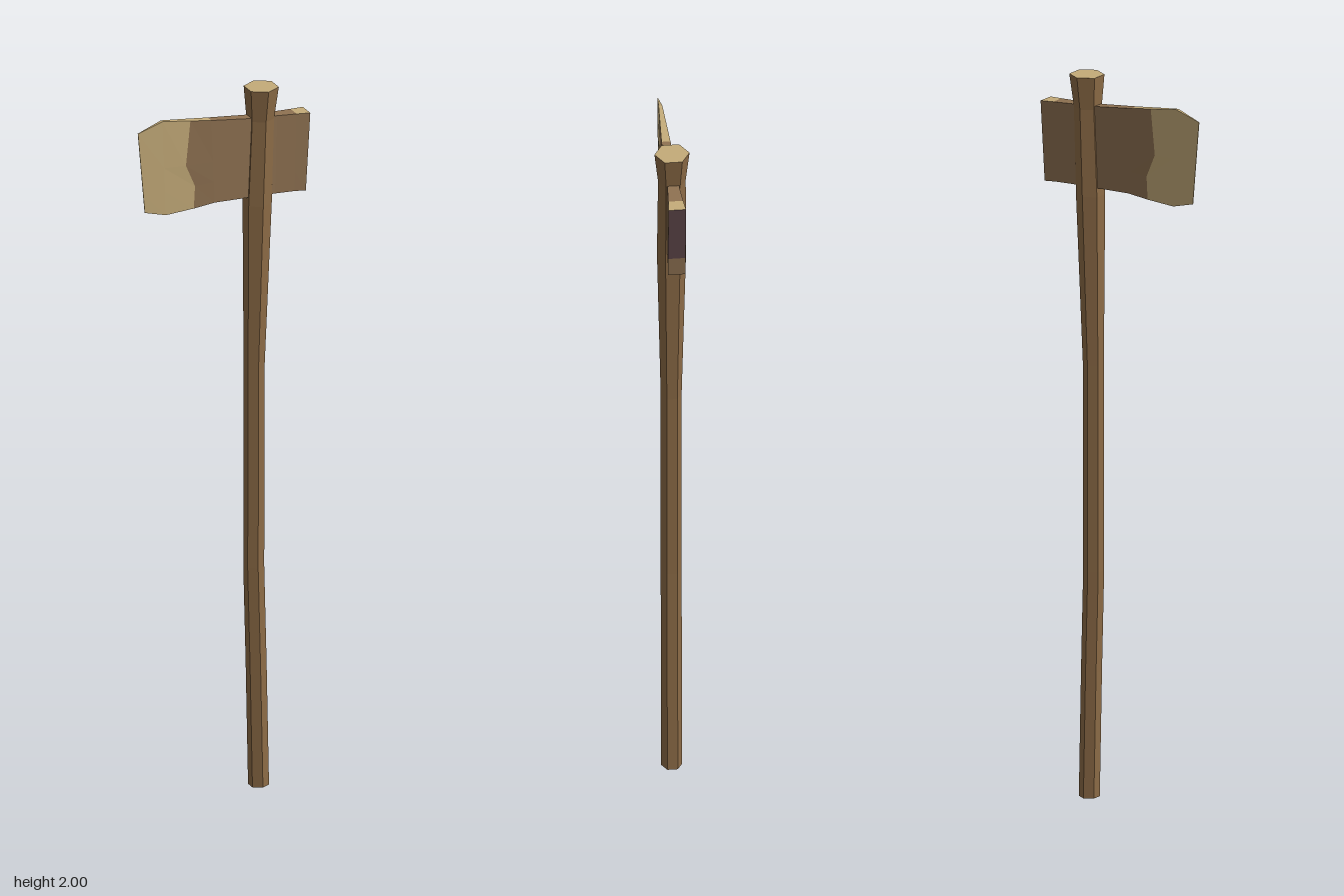
import * as THREE from 'three';

const wood = new THREE.MeshStandardMaterial({ color: 0x8c6b46 });
wood.name = 'handleWood';
const head = new THREE.MeshStandardMaterial({ color: 0x8e7151 });
head.name = 'headBrown';
const tan = new THREE.MeshStandardMaterial({ color: 0xc4ab79 });
tan.name = 'paleTan';
const dark = new THREE.MeshStandardMaterial({ color: 0x5c4548 });
dark.name = 'darkPoll';

// Six-sided shaft; each ring is [height, centre x, radius]
function makeHandle() {
  const rings = [
    [2, 0.112, 0.047], [1.91, 0.109, 0.037], [1.67, 0.1, 0.039], [1.2, 0.091, 0.028],
    [0.63, 0.09, 0.028], [0.35, 0.097, 0.028], [0, 0.104, 0.028],
  ];
  const n = rings.length - 1;
  let geo = new THREE.CylinderGeometry(1, 1, n, 6, n);
  const p = geo.attributes.position;
  for (let i = 0; i < p.count; i++) {
    const [y, cx, r] = rings[Math.round(n / 2 - p.getY(i))];
    p.setXYZ(i, cx + p.getX(i) * r, y, p.getZ(i) * r);
  }
  geo = geo.toNonIndexed();
  geo.computeVertexNormals();
  const mesh = new THREE.Mesh(geo, [wood, tan, wood]);
  mesh.name = 'handle';
  return mesh;
}

// Wedge-shaped head, lofted from upright stations running from edge to poll
function makeHead() {
  // [top x, top y, bottom x, bottom y, half thickness]
  const stations = [
    [-0.25, 1.925, -0.23, 1.695, 0.001],
    [-0.18, 1.95, -0.17, 1.68, 0.005],
    [-0.1, 1.94, -0.09, 1.687, 0.009],
    [-0.04, 1.932, -0.03, 1.695, 0.012],
    [0.07, 1.92, 0.065, 1.694, 0.015],
    [0.15, 1.915, 0.145, 1.693, 0.016],
    [0.207, 1.912, 0.2, 1.692, 0.02],
    [0.245, 1.91, 0.232, 1.69, 0.0235],
  ];
  const rows = [0, 0.5, 0.75, 1];
  const wave = [0, -0.018, 0.006, 0]; // wavy border of the honed edge
  const last = stations.length - 1;
  const point = (i, j, side) => {
    const [tx, ty, bx, by, z] = stations[i];
    const t = rows[j];
    return [tx + (bx - tx) * t + (i === 2 ? wave[j] : 0), ty + (by - ty) * t, z * side];
  };

  const parts = {
    bladeEdge: { material: tan, data: [] },
    headBody: { material: head, data: [] },
    pollFace: { material: dark, data: [] },
  };
  const quad = (part, a, b, c, d) => parts[part].data.push(...a, ...b, ...c, ...a, ...c, ...d);

  for (let i = 0; i < last; i++) {
    const cheek = i < 2 ? 'bladeEdge' : 'headBody';
    for (let j = 0; j < 3; j++) {
      quad(cheek, point(i, j, 1), point(i, j + 1, 1), point(i + 1, j + 1, 1), point(i + 1, j, 1));
      quad(cheek, point(i, j, -1), point(i + 1, j, -1), point(i + 1, j + 1, -1), point(i, j + 1, -1));
    }
    const top = i < 3 || i === last - 1 ? 'bladeEdge' : 'headBody';
    quad(top, point(i, 0, 1), point(i + 1, 0, 1), point(i + 1, 0, -1), point(i, 0, -1));
    quad(cheek, point(i, 3, 1), point(i, 3, -1), point(i + 1, 3, -1), point(i + 1, 3, 1));
  }
  // Cutting edge and poll end
  for (let j = 0; j < 3; j++) {
    quad('bladeEdge', point(0, j, -1), point(0, j + 1, -1), point(0, j + 1, 1), point(0, j, 1));
    quad(j < 2 ? 'pollFace' : 'headBody',
      point(last, j, 1), point(last, j + 1, 1), point(last, j + 1, -1), point(last, j, -1));
  }

  const group = new THREE.Group();
  group.name = 'axeHead';
  for (const [name, { material, data }] of Object.entries(parts)) {
    const geo = new THREE.BufferGeometry();
    geo.setAttribute('position', new THREE.Float32BufferAttribute(data, 3));
    geo.computeVertexNormals();
    const mesh = new THREE.Mesh(geo, material);
    mesh.name = name;
    group.add(mesh);
  }
  return group;
}

export function createModel() {
  const model = new THREE.Group();
  model.name = 'axe';
  model.add(makeHandle(), makeHead());
  return model;
}
